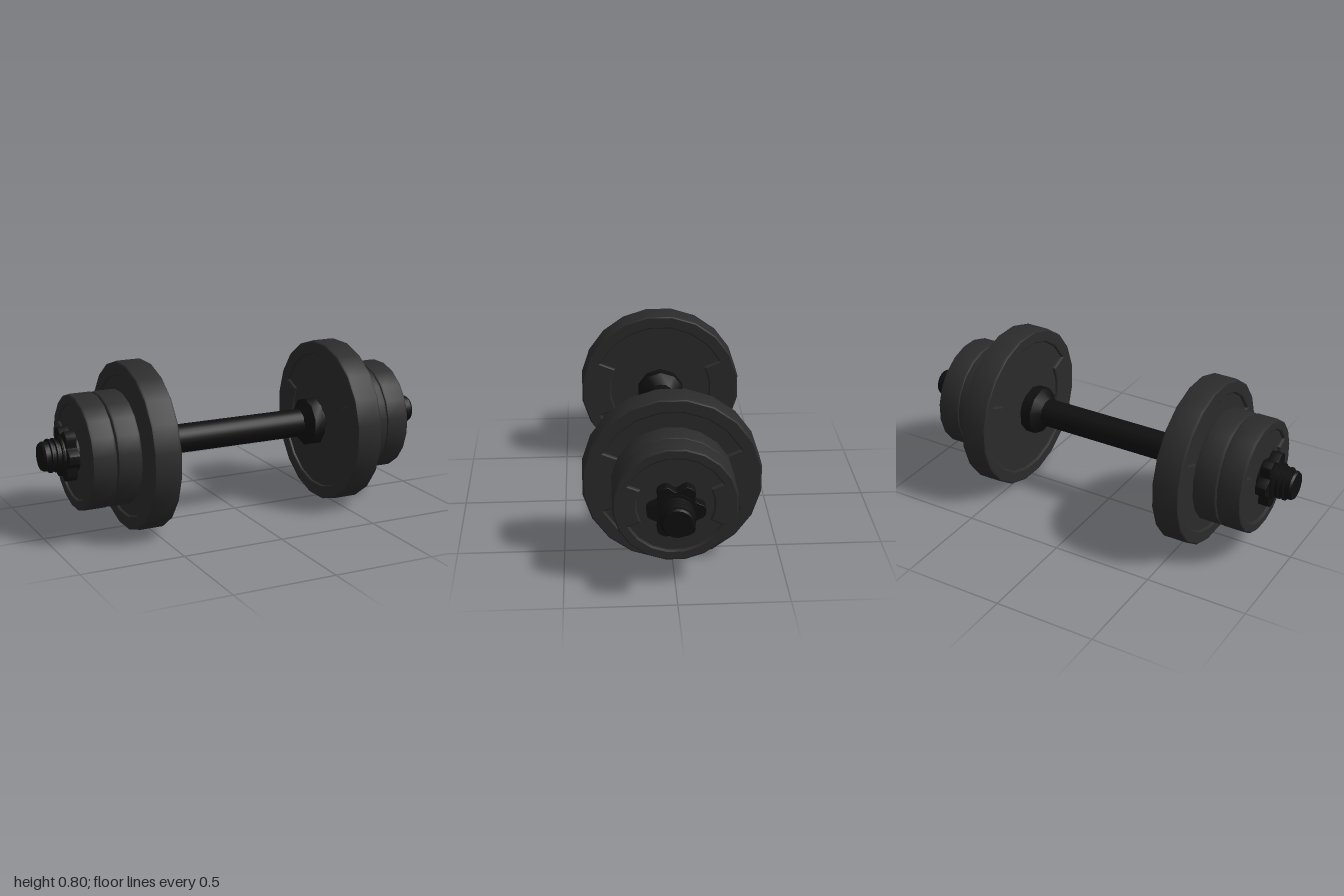
import * as THREE from 'three';
import { toCreasedNormals } from 'three/addons/utils/BufferGeometryUtils.js';

const AXIS_Y = 0.397;
const RAD = Math.PI / 180;
const plateMat = new THREE.MeshStandardMaterial({ color: 0x2b2b2b });
const steelMat = new THREE.MeshStandardMaterial({ color: 0x0f0f0f });

const polar = (r, deg) => new THREE.Vector2(r * Math.cos(deg * RAD), r * Math.sin(deg * RAD));

function addMesh(parent, name, geometry, material, x = 0, crease = 0.5) {
  const mesh = new THREE.Mesh(toCreasedNormals(geometry, crease), material);
  mesh.name = name;
  mesh.position.x = x;
  parent.add(mesh);
  return mesh;
}

// Lathe around the x axis from [x, radius] pairs
function turned(profile, sides) {
  const pts = profile.map(([x, r]) => new THREE.Vector2(r, x));
  return new THREE.LatheGeometry(pts, sides, Math.PI / 2).rotateZ(-Math.PI / 2);
}

// Extrude a shape along x, centred, with a bevel inside the outline
function slab(shape, width, bevelSize, bevelThickness) {
  const depth = width - 2 * bevelThickness;
  return new THREE.ExtrudeGeometry(shape, {
    depth, bevelEnabled: true, bevelSize, bevelThickness, bevelSegments: 2, steps: 1,
  }).translate(0, 0, -depth / 2).rotateY(Math.PI / 2);
}

// Recess outline: a disc widened into two sectors, leaving a raised tab at each side
function recessPoints(radius) {
  const outer = radius * 0.87, inner = radius * 0.66, pts = [];
  for (const turn of [0, 180]) {
    for (const a of [-9, 9]) pts.push(polar(inner, a + turn));
    pts.push(polar(inner, 25 + turn));
    for (const a of [24.5, 27, 45, 63, 81, 99, 117, 135, 153, 155.5]) pts.push(polar(outer, a + turn));
    pts.push(polar(inner, 155 + turn));
  }
  return pts;
}

// Twenty-sided weight plate, recessed on both faces
function addPlate(parent, name, radius, width, x) {
  const plate = new THREE.Group();
  plate.name = name;
  plate.position.x = x;
  plate.scale.y = 0.985;
  const rim = new THREE.Shape(Array.from({ length: 20 }, (_, i) => polar(radius, 9 + 18 * i)));
  rim.holes.push(new THREE.Path(recessPoints(radius)));
  addMesh(plate, name + 'Rim', slab(rim, width, 0.008, 0.012), plateMat);
  const h = width / 2 - 0.013, r = radius * 0.92;
  addMesh(plate, name + 'Core', turned([[-h, 0], [-h, r], [h, r], [h, 0]], 20), plateMat);
  parent.add(plate);
}

// Six-lobed spin-lock nut
function nutShape() {
  const half = [[0, 0.13], [8, 0.129], [14, 0.121], [22, 0.103], [30, 0.095]];
  const pts = [];
  for (let lobe = 0; lobe < 6; lobe++) {
    for (const [a, r] of half.slice(1, 4).reverse()) pts.push(polar(r - 0.002, lobe * 60 - a));
    for (const [a, r] of half) pts.push(polar(r - 0.002, lobe * 60 + a));
  }
  return new THREE.Shape(pts);
}

// Threaded bar end with evenly spaced ridges
function threadProfile(from, to, pitch) {
  const pts = [[from, 0.07]];
  for (let x = from; x + pitch < to - 0.01; x += pitch) {
    pts.push([x + pitch * 0.25, 0.07], [x + pitch * 0.4, 0.08],
      [x + pitch * 0.75, 0.08], [x + pitch * 0.9, 0.07]);
  }
  pts.push([to - 0.01, 0.07], [to, 0.064], [to, 0]);
  return pts;
}

// One loaded end; shift lets the small plates sit slightly further out
function createEnd(name, shift) {
  const end = new THREE.Group();
  end.name = name;
  addMesh(end, 'collar', turned([[0.354, 0.068], [0.392, 0.12], [0.447, 0.12], [0.447, 0.06]], 10), steelMat, 0, 0.7);
  addPlate(end, 'largePlate', 0.404, 0.134, 0.53);
  addPlate(end, 'innerSmallPlate', 0.272, 0.118, 0.655 + shift * 0.6);
  addPlate(end, 'outerSmallPlate', 0.272, 0.118, 0.773 + shift);
  addMesh(end, 'nut', slab(nutShape(), 0.052, 0.002, 0.004), steelMat, 0.864 + shift);
  addMesh(end, 'nutHub', turned([[-0.04, 0.06], [-0.04, 0.09], [0.034, 0.088], [0.034, 0.06]], 18), steelMat, 0.864 + shift);
  addMesh(end, 'thread', turned(threadProfile(0.84, 1, 0.026), 18), steelMat);
  return end;
}

export function createModel() {
  const model = new THREE.Group();
  model.name = 'dumbbell';
  const body = new THREE.Group();
  body.name = 'barAndWeights';
  body.position.y = AXIS_Y;

  addMesh(body, 'bar', turned([[-0.9, 0], [-0.9, 0.07], [0.9, 0.07], [0.9, 0]], 18), steelMat);

  const left = createEnd('leftEnd', 0);
  const right = createEnd('rightEnd', 0.011);
  right.rotation.y = Math.PI;
  body.add(left, right);

  model.add(body);
  return model;
}
